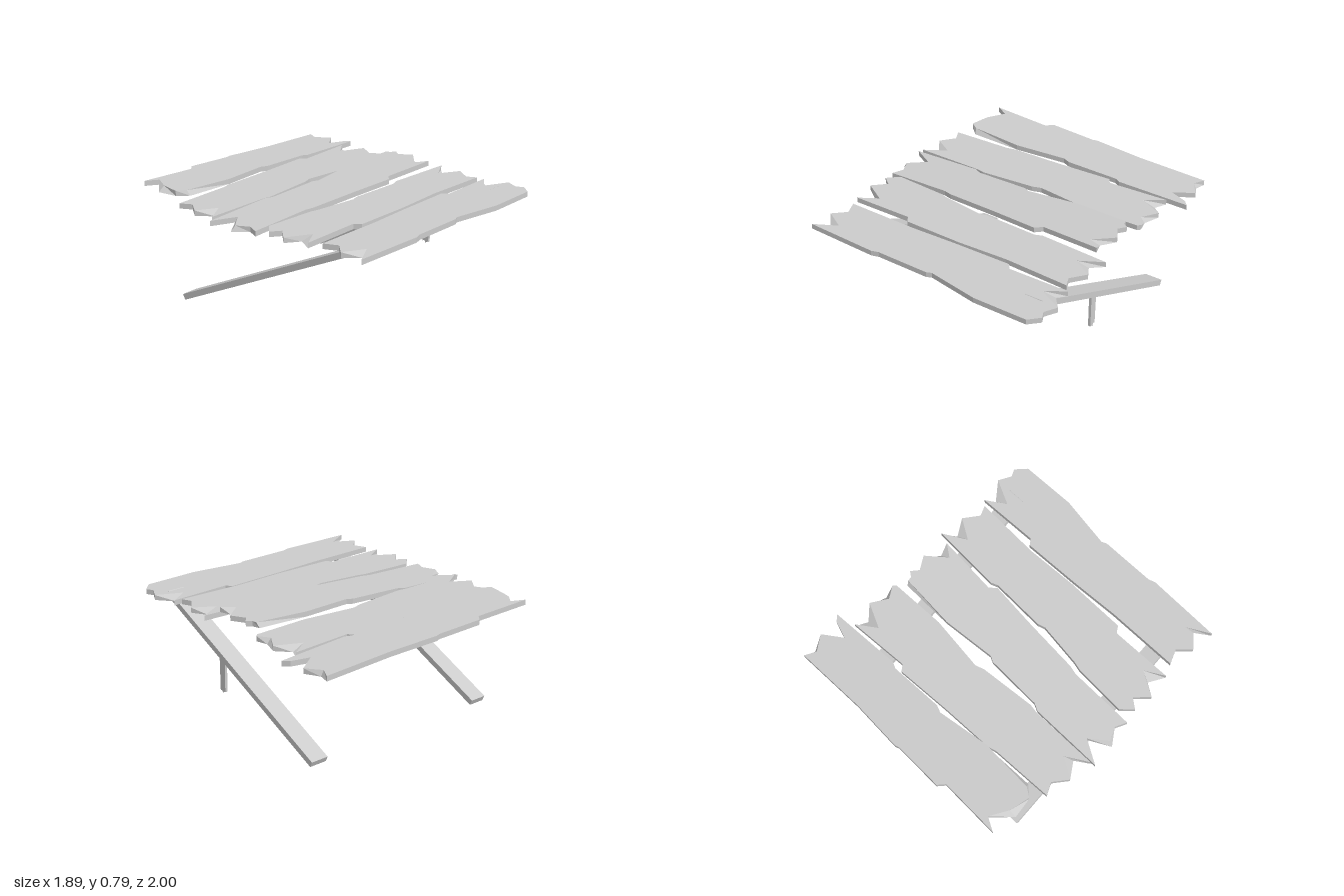
import * as THREE from 'three';

const T = 0.035; // plank thickness

// Splintered plank: outline of x,z pairs; underside corners listed in `under`
// (x, z, dx, dz) are shifted so the broken ends are not straight cuts.
function makePlank(mat, name, height, slope, outline, under = []) {
  const points = [];
  for (let i = 0; i < outline.length; i += 2) {
    points.push(new THREE.Vector2(outline[i], outline[i + 1]));
  }
  const geo = new THREE.ExtrudeGeometry(new THREE.Shape(points), { depth: T, bevelEnabled: false });
  geo.rotateX(Math.PI / 2);
  const p = geo.attributes.position;
  for (let i = 0; i < p.count; i++) {
    let x = p.getX(i), z = p.getZ(i);
    const y = p.getY(i);
    if (y < -T / 2) {
      const shift = under.find(u => Math.hypot(u[0] - x, u[1] - z) < 0.004);
      if (shift) { x += shift[2]; z += shift[3]; }
    }
    p.setXYZ(i, x, y + height + T / 2 + slope * x, z);
  }
  geo.computeVertexNormals();
  const mesh = new THREE.Mesh(geo, mat);
  mesh.name = name;
  return mesh;
}

export function createModel() {
  const group = new THREE.Group();
  group.name = 'plankPlatform';
  const mat = new THREE.MeshStandardMaterial({ color: 0xcccccc, flatShading: true });

  // Planks, from the back to the front
  group.add(makePlank(mat, 'backPlank', 0.755, -0.032, [
    -0.8, -0.97, -0.38, -0.955, -0.34, -1, 0, -0.99, 0.03, -1, 0.39, -0.98,
    0.89, -0.985, 0.85, -0.91, 0.92, -0.81, 0.79, -0.72, 0.91, -0.68, 0.945, -0.64,
    0.44, -0.62, 0.4, -0.64, 0.03, -0.63, -0.02, -0.65, -0.38, -0.6,
    -0.75, -0.62, -0.81, -0.66, -0.78, -0.8, -0.71, -0.92,
  ], [[-0.78, -0.8, -0.05, 0], [-0.75, -0.62, 0.01, 0.025], [0.85, -0.91, 0.02, 0]]));

  group.add(makePlank(mat, 'backMiddlePlank', 0.7325, 0, [
    -0.87, -0.565, -0.45, -0.58, -0.39, -0.595, -0.02, -0.605, 0.36, -0.625, 0.39, -0.585,
    0.81, -0.61, 0.68, -0.52, 0.85, -0.44, 0.78, -0.33, 0.83, -0.25, 0.81, -0.23,
    0.43, -0.22, 0.05, -0.265, -0.01, -0.245, -0.39, -0.21, -0.45, -0.22,
    -0.92, -0.22, -0.77, -0.31, -0.905, -0.39, -0.83, -0.485,
  ], [[0.68, -0.52, 0.09, -0.01], [-0.77, -0.31, -0.06, 0.03], [0.78, -0.33, 0.03, 0]]));

  group.add(makePlank(mat, 'middlePlank', 0.752, 0.037, [
    -0.95, -0.21, -0.45, -0.21, -0.4, -0.185, -0.02, -0.175, 0.02, -0.155, 0.385, -0.19,
    0.765, -0.165, 0.77, -0.135, 0.805, -0.11, 0.765, -0.06, 0.82, 0.03, 0.69, 0.14,
    0.775, 0.2, 0.36, 0.17, 0.315, 0.21, -0.02, 0.18, -0.39, 0.155, -0.45, 0.14,
    -0.905, 0.135, -0.87, 0.06, -0.91, -0.03, -0.795, -0.12,
  ], [[0.765, -0.165, -0.01, -0.02], [0.69, 0.14, 0.06, -0.02], [-0.91, -0.03, -0.03, -0.01]]));

  group.add(makePlank(mat, 'frontMiddlePlank', 0.7325, 0, [
    -0.81, 0.16, -0.45, 0.18, -0.39, 0.195, -0.09, 0.235, -0.04, 0.22, 0.335, 0.235,
    0.385, 0.215, 0.87, 0.24, 0.71, 0.33, 0.85, 0.415, 0.775, 0.515, 0.805, 0.585,
    0.35, 0.565, 0, 0.58, -0.42, 0.575, -0.45, 0.53,
    -0.875, 0.535, -0.745, 0.46, -0.905, 0.365, -0.82, 0.28, -0.885, 0.23,
  ], [[0.71, 0.33, 0.08, -0.02], [-0.745, 0.46, -0.07, -0.03]]));

  group.add(makePlank(mat, 'frontPlank', 0.73, -0.009, [
    -0.84, 0.615, -0.34, 0.615, -0.02, 0.6, 0.39, 0.59, 0.42, 0.63,
    0.84, 0.62, 0.71, 0.705, 0.88, 0.79, 0.835, 0.875, 0.86, 0.925, 0.795, 0.995,
    0.42, 1, 0.065, 0.94, 0.03, 0.955, -0.34, 0.955, -0.39, 0.97,
    -0.895, 0.955, -0.74, 0.87, -0.88, 0.79, -0.8, 0.71,
  ], [[0.71, 0.705, 0.08, -0.03], [-0.74, 0.87, -0.06, 0.02]]));

  // Slanted beams, high under the front plank and low at the back
  const top = new THREE.Vector2(0.8, 0.725), foot = new THREE.Vector2(-0.693, 0.024);
  const run = top.clone().sub(foot);
  for (const [name, x, width] of [['leftBeam', 0.708, 0.125], ['rightBeam', -0.685, 0.12]]) {
    const beam = new THREE.Mesh(new THREE.BoxGeometry(width, 0.041, run.length()), mat);
    beam.name = name;
    beam.position.set(x, (top.y + foot.y) / 2, (top.x + foot.x) / 2);
    beam.rotation.x = -Math.atan2(run.y, run.x);
    group.add(beam);
  }

  // Thin splinter hanging from the outer edge of the left beam, with a ragged tip
  const splinter = new THREE.Shape([
    [0.23, 0.44], [0.23, 0.21], [0.215, 0.215], [0.205, 0.2], [0.195, 0.22],
    [0.18, 0.21], [0.175, 0.41],
  ].map(([z, y]) => new THREE.Vector2(-z, y)));
  const splinterGeo = new THREE.ExtrudeGeometry(splinter, { depth: 0.018, bevelEnabled: false });
  splinterGeo.rotateY(Math.PI / 2);
  const hanging = new THREE.Mesh(splinterGeo, mat);
  hanging.name = 'hangingSplinter';
  hanging.position.x = 0.752;
  group.add(hanging);

  return group;
}
